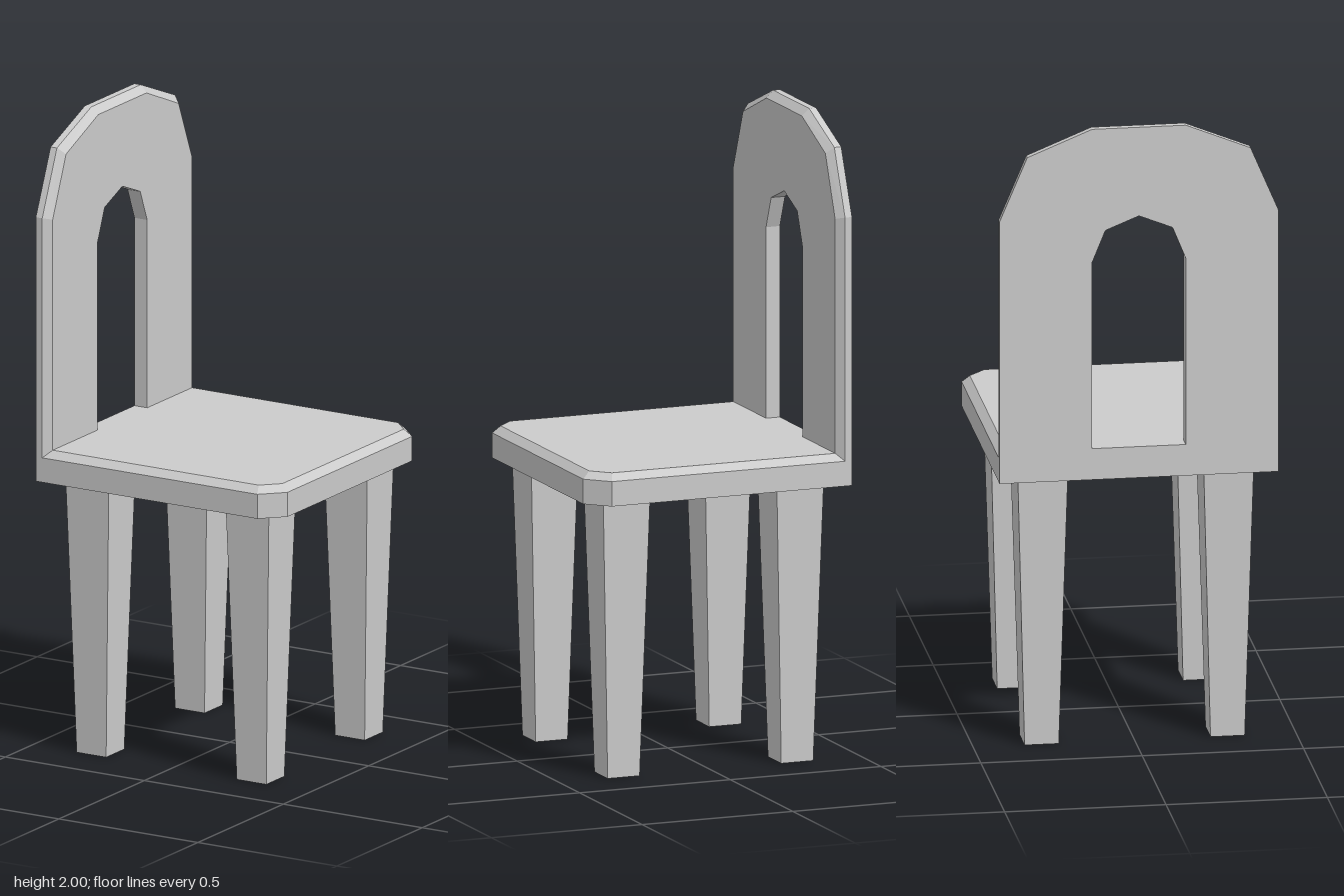
import * as THREE from 'three';

const material = new THREE.MeshStandardMaterial({ color: 0xcccccc, flatShading: true });

// Slab over a counter-clockwise outline, with a bevelled far edge and an optional clockwise hole.
function bevelledSlab(outline, inset, depth, bevel, hole = []) {
  const positions = [];
  const at = (points, z) => points.map(([x, y]) => [x, y, z]);
  const wall = (low, high) => low.forEach((a, i) => {
    const j = (i + 1) % low.length;
    positions.push(...a, ...low[j], ...high[j], ...a, ...high[j], ...high[i]);
  });
  const cap = (points, z, flip) => {
    const vectors = list => list.map(([x, y]) => new THREE.Vector2(x, y));
    const all = at([...points, ...hole], z);
    const holes = hole.length ? [vectors(hole)] : [];
    for (const [a, b, c] of THREE.ShapeUtils.triangulateShape(vectors(points), holes)) {
      positions.push(...all[a], ...all[flip ? c : b], ...all[flip ? b : c]);
    }
  };
  wall(at(outline, 0), at(outline, depth - bevel));
  wall(at(outline, depth - bevel), at(inset, depth));
  wall(at(hole, 0), at(hole, depth));
  cap(outline, 0, true);
  cap(inset, depth, false);
  const geometry = new THREE.BufferGeometry();
  geometry.setAttribute('position', new THREE.Float32BufferAttribute(positions, 3));
  geometry.computeVertexNormals();
  return geometry;
}

// Complete a right-hand half profile with its mirror image.
const mirrored = half => [...half, ...half.map(([x, y]) => [-x, y]).reverse()];

export function createModel() {
  const chair = new THREE.Group();
  chair.name = 'chair';
  const add = (name, geometry) => {
    const mesh = new THREE.Mesh(geometry, material);
    mesh.name = name;
    chair.add(mesh);
    return mesh;
  };

  // Seat: clipped front corners and bevelled upper edge, butting into the backrest
  const seatOutline = [[-0.41, -0.432], [0.365, -0.432], [0.432, -0.365],
    [0.432, 0.365], [0.365, 0.432], [-0.41, 0.432]];
  const seatInset = [[-0.41, -0.408], [0.355, -0.408], [0.408, -0.355],
    [0.408, 0.355], [0.355, 0.408], [-0.41, 0.408]];
  const seat = add('seat', bevelledSlab(seatOutline, seatInset, 0.1, 0.022).rotateX(-Math.PI / 2));
  seat.position.y = 0.873;

  // Backrest: faceted arch with an arched opening
  const archOutline = mirrored([[0.432, 0.873], [0.432, 1.715], [0.346, 1.918], [0.145, 2]]);
  const archInset = mirrored([[0.408, 0.873], [0.408, 1.708], [0.33, 1.898], [0.141, 1.978]]);
  const opening = [[-0.145, 0.973], [-0.145, 1.572], [-0.104, 1.673], [0, 1.715],
    [0.104, 1.673], [0.145, 1.572], [0.145, 0.973]];
  const backrest = add('backrest',
    bevelledSlab(archOutline, archInset, 0.046, 0.023, opening).rotateY(Math.PI / 2));
  backrest.position.x = -0.432;

  // Four square tapered legs
  const legGeometry = new THREE.CylinderGeometry(0.0775 * Math.SQRT2, 0.053 * Math.SQRT2, 0.873, 4)
    .rotateY(Math.PI / 4);
  for (const x of [-1, 1]) {
    for (const z of [-1, 1]) {
      const leg = add(`${x > 0 ? 'front' : 'back'}Leg${z > 0 ? 'A' : 'B'}`, legGeometry);
      leg.position.set(x * 0.288, 0.4365, z * 0.288);
    }
  }
  return chair;
}
